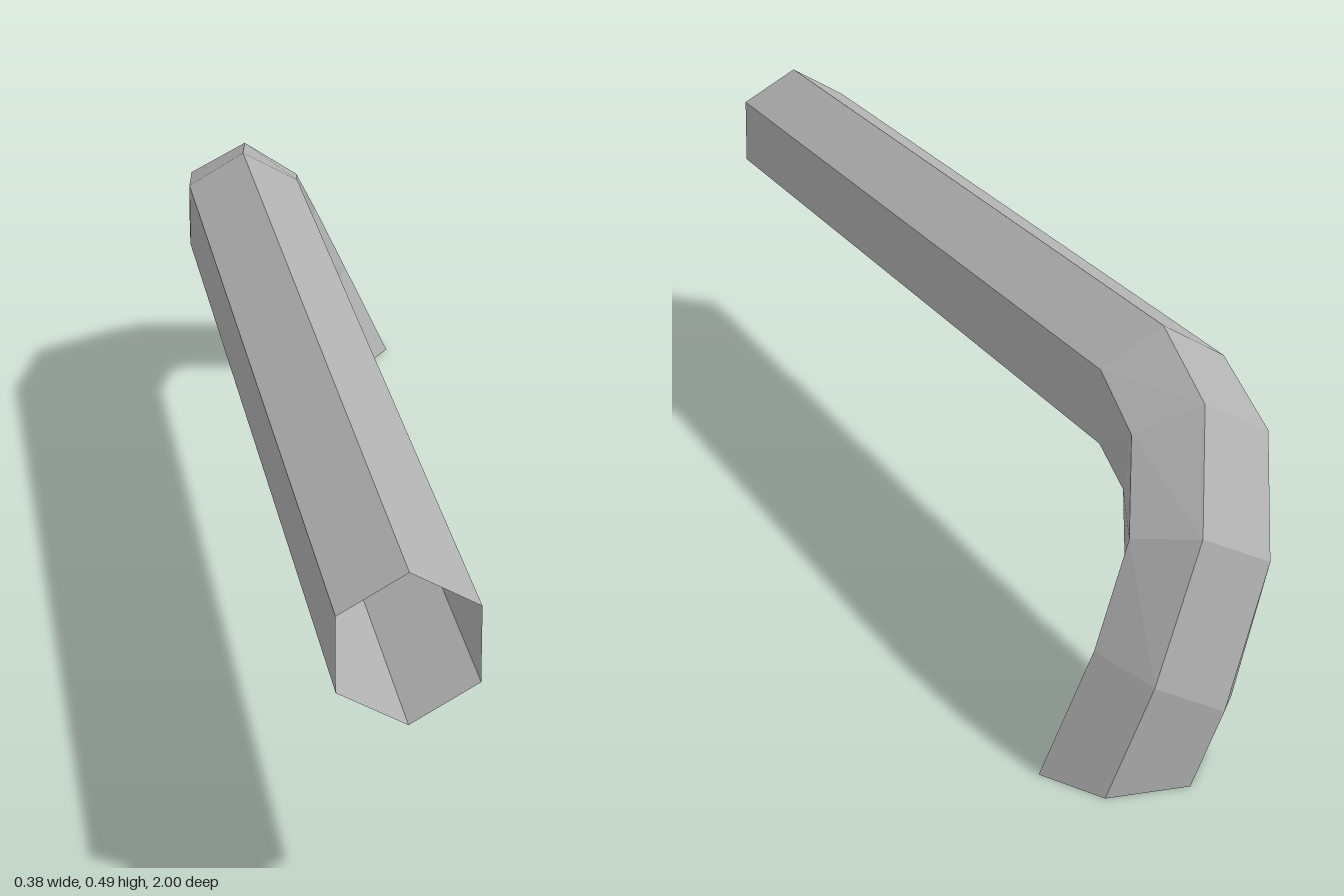
import * as THREE from 'three';

const SIDES = 6, RADIUS = 0.105, BEND = 0.292;
const LEAN = Math.atan2(0.42, 0.908); // short arm leans towards +x

// axes of the hexagonal section: across the bend, and away from the bend centre
const across = new THREE.Vector3(Math.cos(LEAN), Math.sin(LEAN), 0);
const outward = new THREE.Vector3(-Math.sin(LEAN), Math.cos(LEAN), 0);
const back = new THREE.Vector3(0, 0, -1);
const bendStart = new THREE.Vector3(-0.1, 0.382, -0.611);

// one hexagonal ring, turned by "angle" round the bend and twisted slightly
function ring(angle, twist) {
  const radial = outward.clone().multiplyScalar(Math.cos(angle)).addScaledVector(back, Math.sin(angle));
  const centre = bendStart.clone().addScaledVector(outward, -BEND).addScaledVector(radial, BEND);
  return Array.from({ length: SIDES }, (_, i) => {
    const t = Math.PI / 2 - LEAN - twist + (i * 2 * Math.PI) / SIDES;
    return centre.clone()
      .addScaledVector(across, RADIUS * Math.cos(t))
      .addScaledVector(radial, RADIUS * Math.sin(t));
  });
}

// skin consecutive rings with separate triangles, leaving both ends open
function skin(rings) {
  const points = [];
  for (let r = 0; r < rings.length - 1; r++) {
    for (let i = 0; i < SIDES; i++) {
      const j = (i + 1) % SIDES, a = rings[r], b = rings[r + 1];
      points.push(b[i], b[j], a[i], b[j], a[j], a[i]);
    }
  }
  const geometry = new THREE.BufferGeometry().setFromPoints(points);
  geometry.computeVertexNormals();
  return geometry;
}

export function createModel() {
  const model = new THREE.Group();
  model.name = 'hexKey';
  const steel = new THREE.MeshStandardMaterial({ color: 0xb0b0b0, flatShading: true, side: THREE.DoubleSide });
  steel.name = 'grey steel';

  const bendRings = [0, 1, 2, 3].map((k) => ring((k * Math.PI) / 6, k * 0.048));
  const frontRing = bendRings[0].map((p) => new THREE.Vector3(p.x, p.y, 1));
  // short arm runs along its lean and is cut level with the ground
  const footRing = bendRings[3].map((p) => new THREE.Vector3(p.x + p.y * Math.tan(LEAN), 0, p.z));

  const parts = {
    longArm: [frontRing, bendRings[0]],
    bend: bendRings,
    shortArm: [bendRings[3], footRing],
  };
  for (const [name, rings] of Object.entries(parts)) {
    const mesh = new THREE.Mesh(skin(rings), steel);
    mesh.name = name;
    model.add(mesh);
  }
  return model;
}
